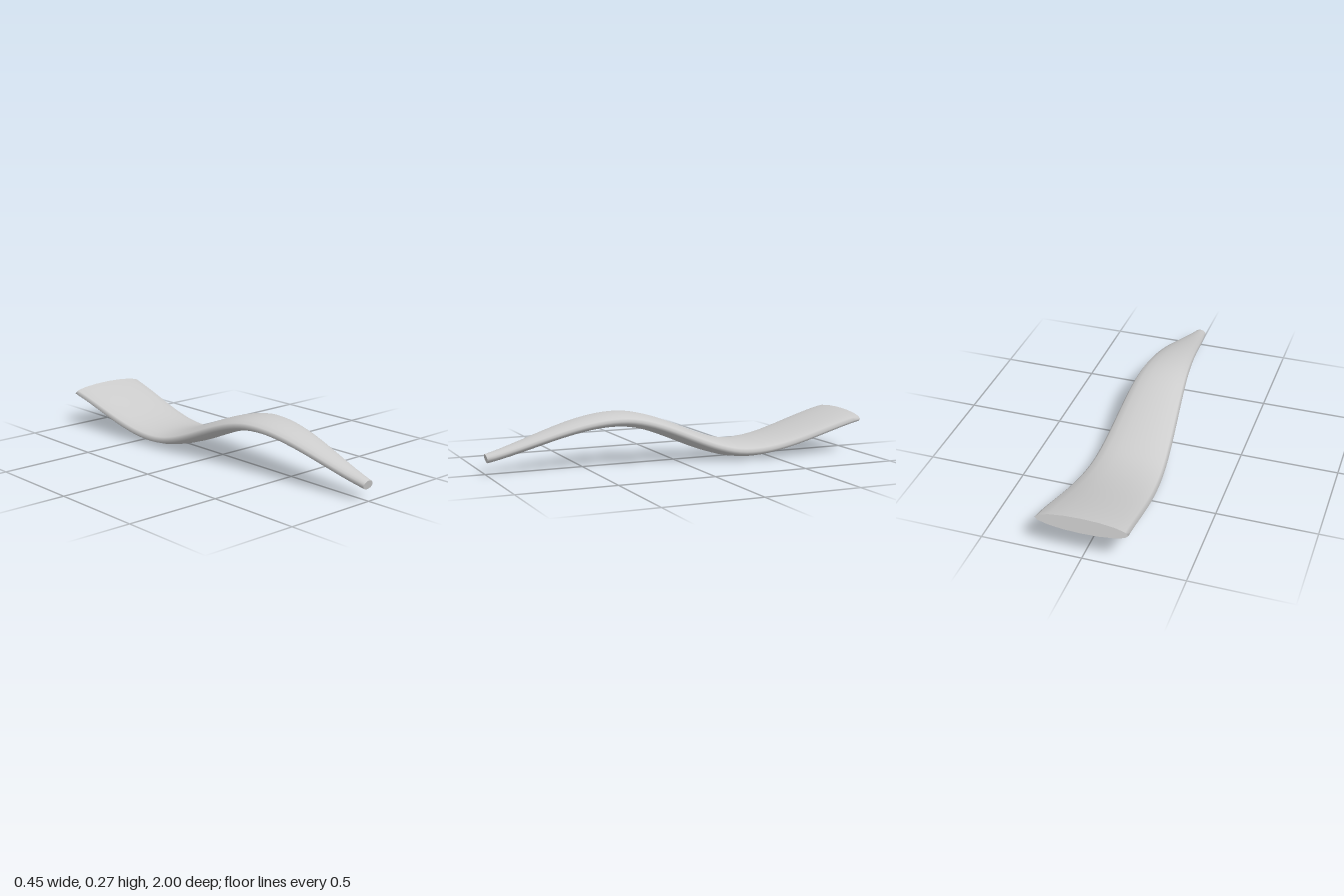
import * as THREE from 'three';

const SIDES = 16;
const STEPS = 56;

// S-shaped centre line, from the narrow front end to the wide back end
const path = new THREE.CatmullRomCurve3([
  new THREE.Vector3(0, 0.081, 0.994),
  new THREE.Vector3(0, 0.236, 0.31),
  new THREE.Vector3(0, 0.045, -0.35),
  new THREE.Vector3(0, 0.186, -0.992),
]);

// Elliptical cross-section at u along the path, square to the centre line
function ring(u) {
  const p = path.getPoint(u);
  const d = path.getTangent(u);
  const t = (0.994 - p.z) / 1.986;
  const w = 0.031 + 0.31 * t - 0.116 * t * t;
  const h = 0.023 + 0.055 * t - 0.041 * t * t;
  const points = [];
  for (let j = 0; j < SIDES; j++) {
    const a = (j / SIDES) * Math.PI * 2;
    const s = Math.sin(a) * h;
    points.push(new THREE.Vector3(Math.cos(a) * w, p.y - d.z * s, p.z + d.y * s));
  }
  return points;
}

function build(points, index) {
  const g = new THREE.BufferGeometry().setFromPoints(points);
  g.setIndex(index);
  g.computeVertexNormals();
  return g;
}

// Smooth skin through all the cross-sections
function skin() {
  const points = [];
  const index = [];
  for (let i = 0; i <= STEPS; i++) points.push(...ring(i / STEPS));
  for (let i = 0; i < STEPS; i++) {
    for (let j = 0; j < SIDES; j++) {
      const k = (j + 1) % SIDES;
      const a = i * SIDES + j;
      const b = i * SIDES + k;
      index.push(a, a + SIDES, b, b, a + SIDES, b + SIDES);
    }
  }
  return build(points, index);
}

// Flat end cap
function cap(u, backward) {
  const index = [];
  for (let j = 1; j < SIDES - 1; j++) {
    index.push(0, ...(backward ? [j + 1, j] : [j, j + 1]));
  }
  return build(ring(u), index);
}

export function createModel() {
  const group = new THREE.Group();
  group.name = 'taperedWave';
  const lightGrey = new THREE.MeshStandardMaterial({ color: 0xcccccc });
  lightGrey.name = 'lightGrey';
  const add = (name, geometry) => {
    const mesh = new THREE.Mesh(geometry, lightGrey);
    mesh.name = name;
    group.add(mesh);
  };
  add('body', skin());
  add('frontCap', cap(0, false));
  add('backCap', cap(1, true));
  return group;
}
